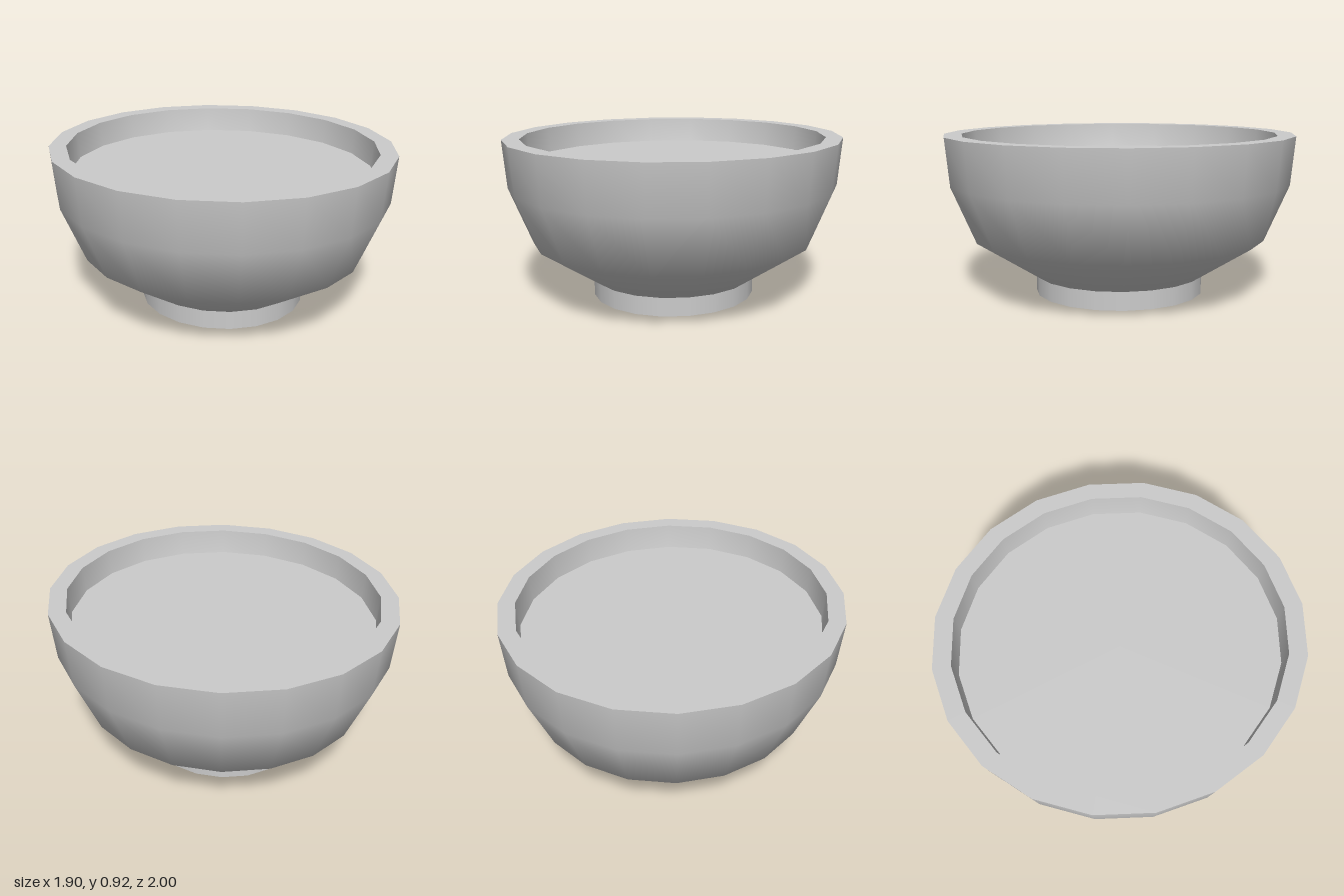
import * as THREE from 'three';

const SIDES = 20;
const X_SCALE = 0.95; // the bowl is slightly narrower in x than in z
const FILL_Y = 0.775;

export function createModel() {
  const bowl = new THREE.Group();
  bowl.name = 'bowl';
  const material = new THREE.MeshStandardMaterial({ color: 0xcccccc });

  // Revolves [radius, height] pairs; each part keeps its own smooth normals
  const revolve = (name, profile) => {
    const points = profile.map(([r, y]) => new THREE.Vector2(r, y));
    const geometry = new THREE.LatheGeometry(points, SIDES);
    geometry.scale(X_SCALE, 1, 1);
    const mesh = new THREE.Mesh(geometry, material);
    mesh.name = name;
    bowl.add(mesh);
  };

  // Foot ring and its closed underside
  revolve('footBase', [[0, 0], [0.488, 0]]);
  revolve('foot', [[0.488, 0], [0.488, 0.105]]);

  // Outer wall, flat lip and inner wall
  revolve('outerWall', [[0.488, 0.105], [0.84, 0.33], [0.975, 0.65], [1, 0.92]]);
  revolve('rim', [[1, 0.92], [0.9, 0.92]]);
  revolve('innerWall', [[0.9, 0.92], [0.875, 0.65], [0.75, 0.36], [0.44, 0.17], [0, 0.17]]);

  // Flat surface of the contents
  revolve('contents', [[0.887, FILL_Y], [0, FILL_Y]]);

  return bowl;
}
